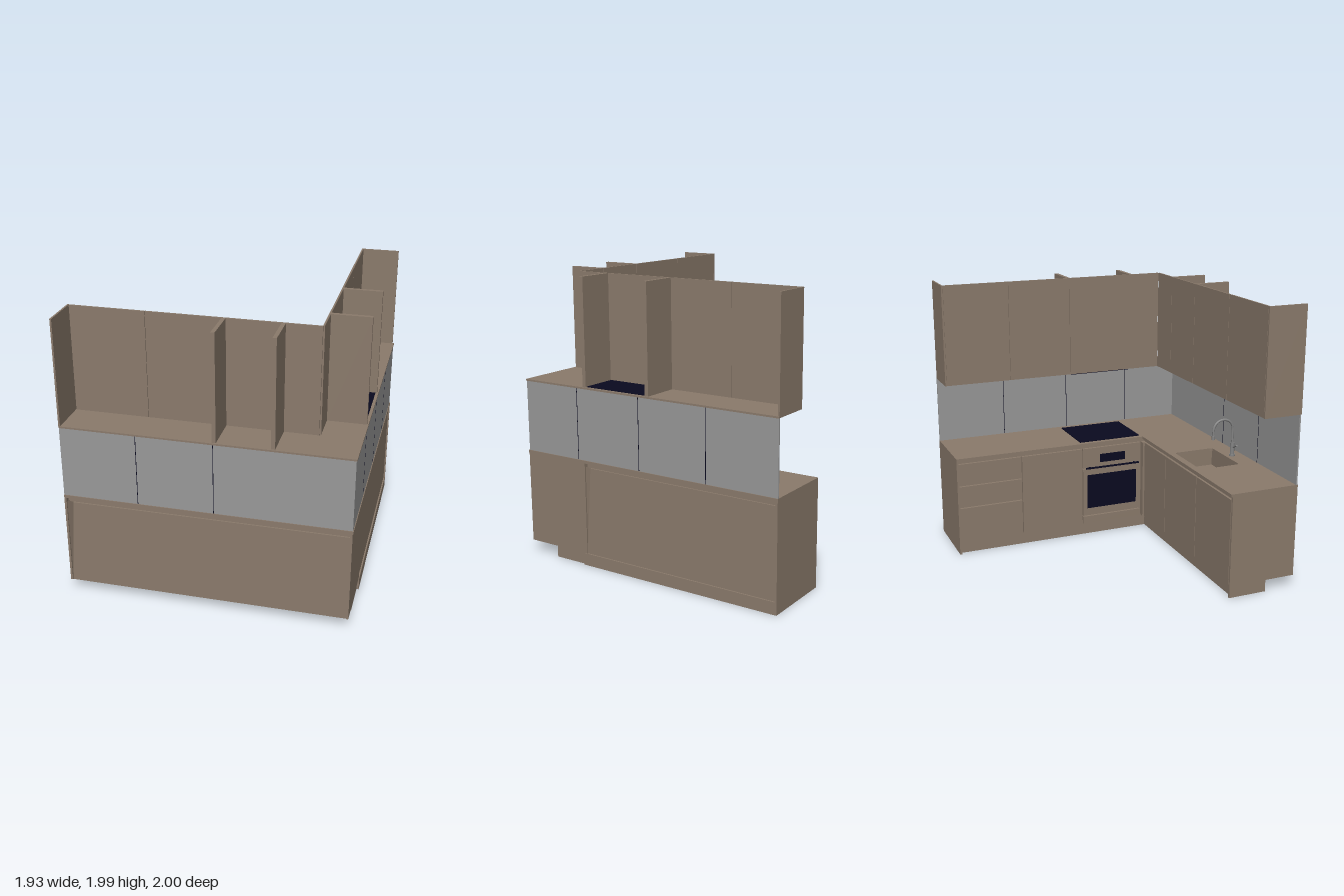
import * as THREE from 'three';

export function createModel() {
  const root = new THREE.Group();
  root.name = 'cornerKitchen';
  const mat = (name, color) => {
    const m = new THREE.MeshStandardMaterial({ color });
    m.name = name;
    return m;
  };
  const wood = mat('taupe laminate', 0x8b7b6c);
  const grey = mat('grey splashback', 0x999999);
  const dark = mat('black glass', 0x0a0a20);
  const steel = mat('tap metal', 0x858585);

  const add = (name, geo, m) => {
    const mesh = new THREE.Mesh(geo, m);
    mesh.name = name;
    root.add(mesh);
    return mesh;
  };
  // Box given by its limits on each axis
  const box = (name, m, x0, x1, y0, y1, z0, z1) => {
    const mesh = add(name, new THREE.BoxGeometry(x1 - x0, y1 - y0, z1 - z0), m);
    mesh.position.set((x0 + x1) / 2, (y0 + y1) / 2, (z0 + z1) / 2);
    return mesh;
  };
  const polygon = (pts) => new THREE.Shape(pts.map(([x, y]) => new THREE.Vector2(x, y)));

  const X = 0.965, GAP = 0.003;

  // L-shaped worktop with a rounded sink cut-out (shape y becomes z)
  const top = polygon([[-X, 0.49], [0.45, 0.49], [0.45, -1], [X, -1], [X, 1], [-X, 1]]);
  const sx0 = -0.43, sx1 = -0.02, sz0 = 0.54, sz1 = 0.85, r = 0.02;
  const roundRect = (p) => {
    p.moveTo(sx0 + r, sz0);
    p.lineTo(sx1 - r, sz0); p.quadraticCurveTo(sx1, sz0, sx1, sz0 + r);
    p.lineTo(sx1, sz1 - r); p.quadraticCurveTo(sx1, sz1, sx1 - r, sz1);
    p.lineTo(sx0 + r, sz1); p.quadraticCurveTo(sx0, sz1, sx0, sz1 - r);
    p.lineTo(sx0, sz0 + r); p.quadraticCurveTo(sx0, sz0, sx0 + r, sz0);
    return p;
  };
  top.holes.push(roundRect(new THREE.Path()));
  const flat = (shape, depth, yTop) => new THREE.ExtrudeGeometry(shape, { depth, bevelEnabled: false, curveSegments: 4 })
    .rotateX(Math.PI / 2).translate(0, yTop, 0);
  add('worktop', flat(top, 0.02, 0.75), wood);

  // Sink basin
  box('sinkFloor', wood, sx0 - 0.01, sx1 + 0.01, 0.61, 0.62, sz0 - 0.01, sz1 + 0.01);
  box('sinkSide', wood, sx0 - 0.01, sx0, 0.62, 0.73, sz0, sz1);
  box('sinkSide', wood, sx1, sx1 + 0.01, 0.62, 0.73, sz0, sz1);
  box('sinkSide', wood, sx0, sx1, 0.62, 0.73, sz0 - 0.01, sz0);
  box('sinkSide', wood, sx0, sx1, 0.62, 0.73, sz1, sz1 + 0.01);

  // Tap with an arched spout and side lever
  const tx = -0.235, tz = 0.9;
  const cyl = (name, rad, h, x, y, z) => add(name, new THREE.CylinderGeometry(rad, rad, h, 20), steel).position.set(x, y, z);
  cyl('tapBase', 0.022, 0.012, tx, 0.756, tz);
  cyl('tapBody', 0.016, 0.09, tx, 0.805, tz);
  const spout = new THREE.CurvePath();
  const v = (y, z) => new THREE.Vector3(tx, y, z);
  spout.add(new THREE.LineCurve3(v(0.84, tz), v(0.95, tz)));
  spout.add(new THREE.CubicBezierCurve3(v(0.95, tz), v(1.06, tz), v(1.06, tz - 0.16), v(0.95, tz - 0.16)));
  spout.add(new THREE.LineCurve3(v(0.95, tz - 0.16), v(0.91, tz - 0.16)));
  add('tapSpout', new THREE.TubeGeometry(spout, 40, 0.009, 10), steel);
  cyl('tapNozzle', 0.012, 0.03, tx, 0.905, tz - 0.16);
  const lever = add('tapLever', new THREE.CylinderGeometry(0.006, 0.006, 0.07, 10), steel);
  lever.position.set(tx - 0.035, 0.83, tz);
  lever.rotation.z = 1.1;

  // Plinths and cabinet bottoms
  box('plinthSinkRun', wood, -0.95, 0.95, 0, 0.085, 0.525, 0.78);
  box('plinthOvenRun', wood, 0.48, X, 0, 0.085, -0.985, 0.525);
  box('bottomSinkRun', wood, -0.95, 0.945, 0.085, 0.1, 0.51, 0.995);
  box('bottomOvenRun', wood, 0.47, 0.955, 0.085, 0.1, -0.985, 0.51);

  // End panels, notched behind the sink-run plinth
  box('sinkRunEnd', wood, -X, -0.95, 0.085, 0.73, 0.5, 1);
  box('sinkRunEndFoot', wood, -X, -0.95, 0, 0.085, 0.5, 0.78);
  box('cornerEnd', wood, 0.945, X - 0.005, 0.085, 0.73, 0.5, 1);
  box('ovenRunEnd', wood, 0.45, X, 0, 0.73, -1, -0.985);

  // Base backs with slanted upper corner, recessed rail and dark wedge
  const backs = (a0, a1) => new THREE.ExtrudeGeometry(
    polygon([[a0, 0.1], [a1, 0.1], [a1, 0.7], [a0 + 0.045, 0.7]]), { depth: 0.01, bevelEnabled: false });
  add('sinkRunBack', backs(-0.95, 0.945), wood).position.z = 0.985;
  box('sinkRunBackRail', wood, -0.95, 0.945, 0.69, 0.73, 0.96, 0.97);
  const bBack = add('ovenRunBack', backs(-0.5, 0.985), wood);
  bBack.rotation.y = Math.PI / 2;
  bBack.position.x = 0.945;
  box('ovenRunBackRail', wood, 0.92, 0.93, 0.69, 0.73, -0.985, 0.5);
  const wedge = () => {
    const g = new THREE.BufferGeometry();
    g.setAttribute('position', new THREE.Float32BufferAttribute([0, 0.1, 0, 0.045, 0.7, -0.1, 0, 0.7, 0], 3));
    g.computeVertexNormals();
    return g;
  };
  add('sinkRunWedge', wedge(), wood).position.set(-0.95, 0, 0.99);
  const bWedge = add('ovenRunWedge', wedge(), wood);
  bWedge.rotation.y = Math.PI / 2;
  bWedge.position.set(0.95, 0, 0.5);

  // Handle-groove rails set back under the worktop
  box('grooveRailSinkRun', wood, -0.95, 0.47, 0.1, 0.73, 0.515, 0.525);
  box('grooveRailOvenRun', wood, 0.475, 0.485, 0.1, 0.73, -0.985, 0.515);

  // Base doors of the sink run
  for (const [a, b] of [[-0.95, -0.445], [-0.445, 0.055], [0.055, 0.43]])
    box('baseDoor', wood, a + GAP, b - GAP, 0.095, 0.705, 0.498, 0.515);
  box('cornerFiller', wood, 0.432, 0.475, 0.095, 0.705, 0.485, 0.515);

  // Oven run: drawers, door and oven
  for (const [y0, y1] of [[0.095, 0.36], [0.385, 0.53], [0.555, 0.705]])
    box('drawerFront', wood, 0.455, 0.475, y0, y1, -0.985, -0.5 - GAP);
  box('baseDoor', wood, 0.455, 0.475, 0.095, 0.705, -0.5 + GAP, -0.015);
  box('ovenFrontLower', wood, 0.455, 0.475, 0.16, 0.54, -0.008, 0.47);
  box('ovenControlPanel', wood, 0.455, 0.475, 0.55, 0.705, -0.008, 0.47);
  box('ovenKickPanel', wood, 0.455, 0.475, 0.095, 0.152, -0.008, 0.47);
  box('ovenWindow', dark, 0.45, 0.456, 0.22, 0.49, 0.025, 0.435);
  box('ovenDisplay', dark, 0.45, 0.456, 0.585, 0.65, 0.13, 0.34);
  box('ovenHandle', dark, 0.43, 0.44, 0.545, 0.557, 0.01, 0.45);
  for (const z of [0.04, 0.41]) box('ovenHandlePost', dark, 0.44, 0.456, 0.545, 0.557, z, z + 0.01);

  // Hob
  box('hob', dark, 0.485, 0.9, 0.75, 0.756, -0.02, 0.475);

  // Splashbacks with dark joints
  box('splashbackSinkRun', grey, -X, 0.95, 0.75, 1.245, 0.985, 0.995);
  box('splashbackOvenRun', grey, 0.95, 0.96, 0.75, 1.245, -1, 0.995);
  for (const x of [-0.45, 0.06]) box('splashbackJoint', dark, x - 0.002, x + 0.002, 0.752, 1.243, 0.984, 0.996);
  for (const z of [-0.48, 0.04, 0.55]) box('splashbackJoint', dark, 0.949, 0.961, 0.752, 1.243, z - 0.002, z + 0.002);

  // Wall cabinets, open at top and back
  const U0 = 1.255, U1 = 1.985;
  box('wallBottomSinkRun', wood, -X, X, 1.243, U0, 0.725, 1);
  box('wallBottomOvenRun', wood, 0.69, X, 1.243, U0, -1, 0.725);
  for (const [a, b] of [[-0.952, -0.445], [-0.445, 0.065], [0.065, 0.442], [0.442, 0.685]])
    box('wallDoor', wood, a + 0.0015, b - 0.0015, 1.245, U1, 0.717, 0.729);
  for (const [a, b] of [[-0.988, -0.5], [-0.5, -0.02], [-0.02, 0.717]])
    box('wallDoor', wood, 0.682, 0.694, 1.245, U1, a + 0.0015, b - 0.0015);
  box('wallEnd', wood, -X, -0.953, 1.243, U1, 0.717, 1);
  box('wallEnd', wood, 0.682, 0.955, 1.243, U1, -1, -0.988);
  for (const x of [0.053, 0.43]) box('wallDivider', wood, x, x + 0.026, U0, U1, 0.729, 0.99);
  for (const z of [-0.04, 0.473]) box('wallDivider', wood, 0.694, 0.955, U0, U1, z, z + 0.027);

  // Extractor hood set in the wall cabinet bottom
  box('hood', dark, 0.694, 0.945, 1.238, 1.26, -0.01, 0.47);

  return root;
}
